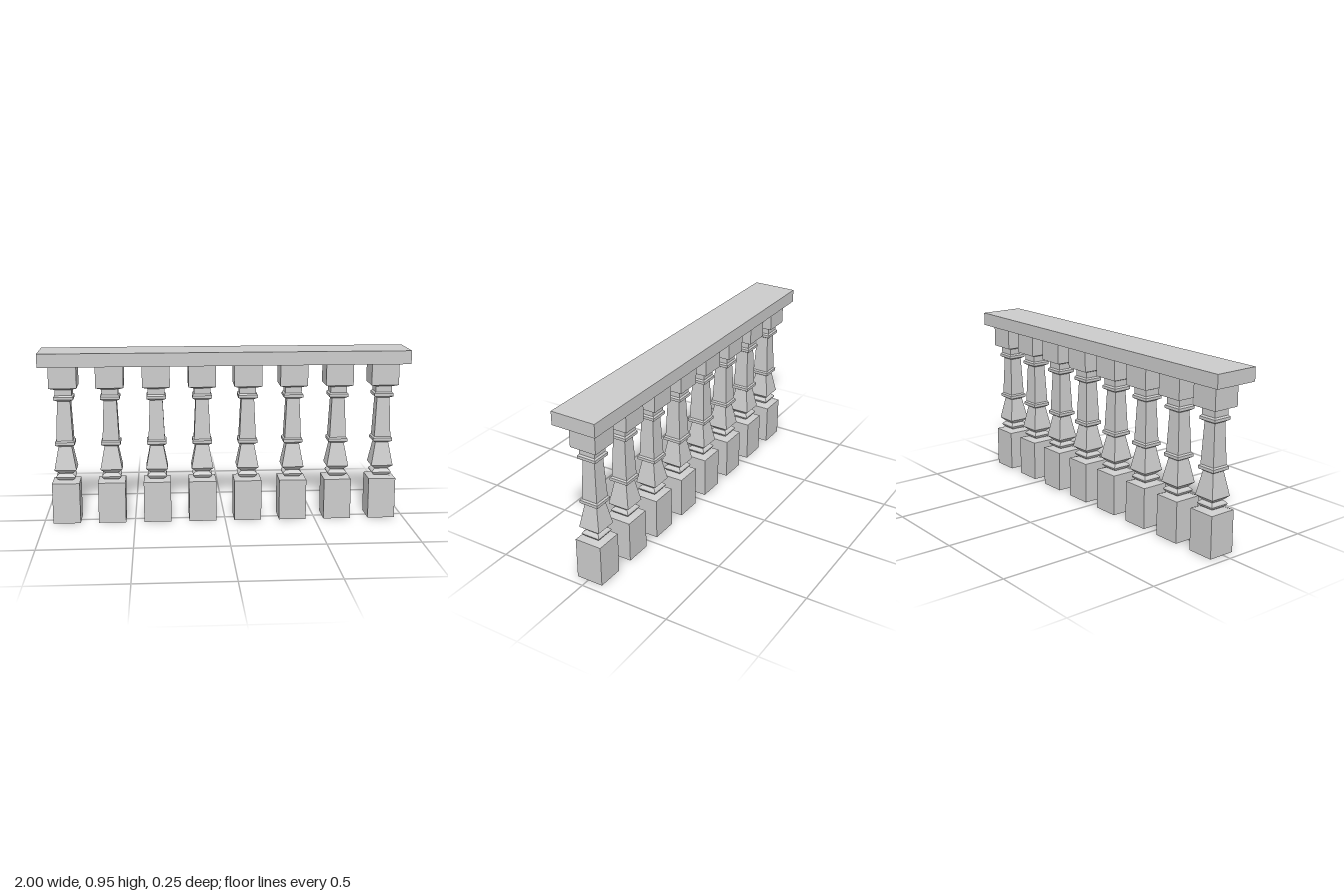
import * as THREE from 'three';
import { toCreasedNormals } from 'three/addons/utils/BufferGeometryUtils.js';

export function createModel() {
  const model = new THREE.Group();
  model.name = 'balustrade';
  const material = new THREE.MeshStandardMaterial({ color: 0xcccccc });

  // Handrail
  const rail = new THREE.Mesh(new THREE.BoxGeometry(2, 0.073, 0.25), material);
  rail.name = 'handrail';
  rail.position.y = 0.9145;
  model.add(rail);

  // Rounded moulding between two heights: [half width, height] pairs
  const bulge = (y0, y1, inner, outer, steps = 8) =>
    Array.from({ length: steps + 1 }, (_, i) => {
      const t = i / steps;
      return [inner + (outer - inner) * Math.sin(Math.PI * t), y0 + (y1 - y0) * t];
    });

  // Square baluster profile: [half width, height], from the ground up
  const profile = [
    [0, 0], [0.075, 0], [0.075, 0.226],              // base block
    [0.044, 0.236],                                  // bevel
    ...bulge(0.238, 0.275, 0.036, 0.053),            // rounded cushion
    [0.036, 0.276], [0.06, 0.298],                   // foot of the lower shaft
    [0.036, 0.426],                                  // lower shaft
    [0.053, 0.436], [0.053, 0.452], [0.045, 0.459],  // middle ring
    [0.035, 0.678],                                  // upper shaft
    [0.053, 0.688], [0.053, 0.703], [0.045, 0.711],  // upper ring
    [0.045, 0.743],                                  // neck
    [0.075, 0.754], [0.075, 0.878], [0, 0.878],      // top block
  ].map(([half, y]) => new THREE.Vector2(half * Math.SQRT2, y));

  const balusterGeometry = toCreasedNormals(
    new THREE.LatheGeometry(profile, 4, Math.PI / 4), Math.PI / 6);

  // Row of eight balusters
  for (let i = 0; i < 8; i++) {
    const baluster = new THREE.Mesh(balusterGeometry, material);
    baluster.name = `baluster${i + 1}`;
    baluster.position.set(-0.875 + i * 0.25, 0, -0.01);
    model.add(baluster);
  }
  return model;
}
